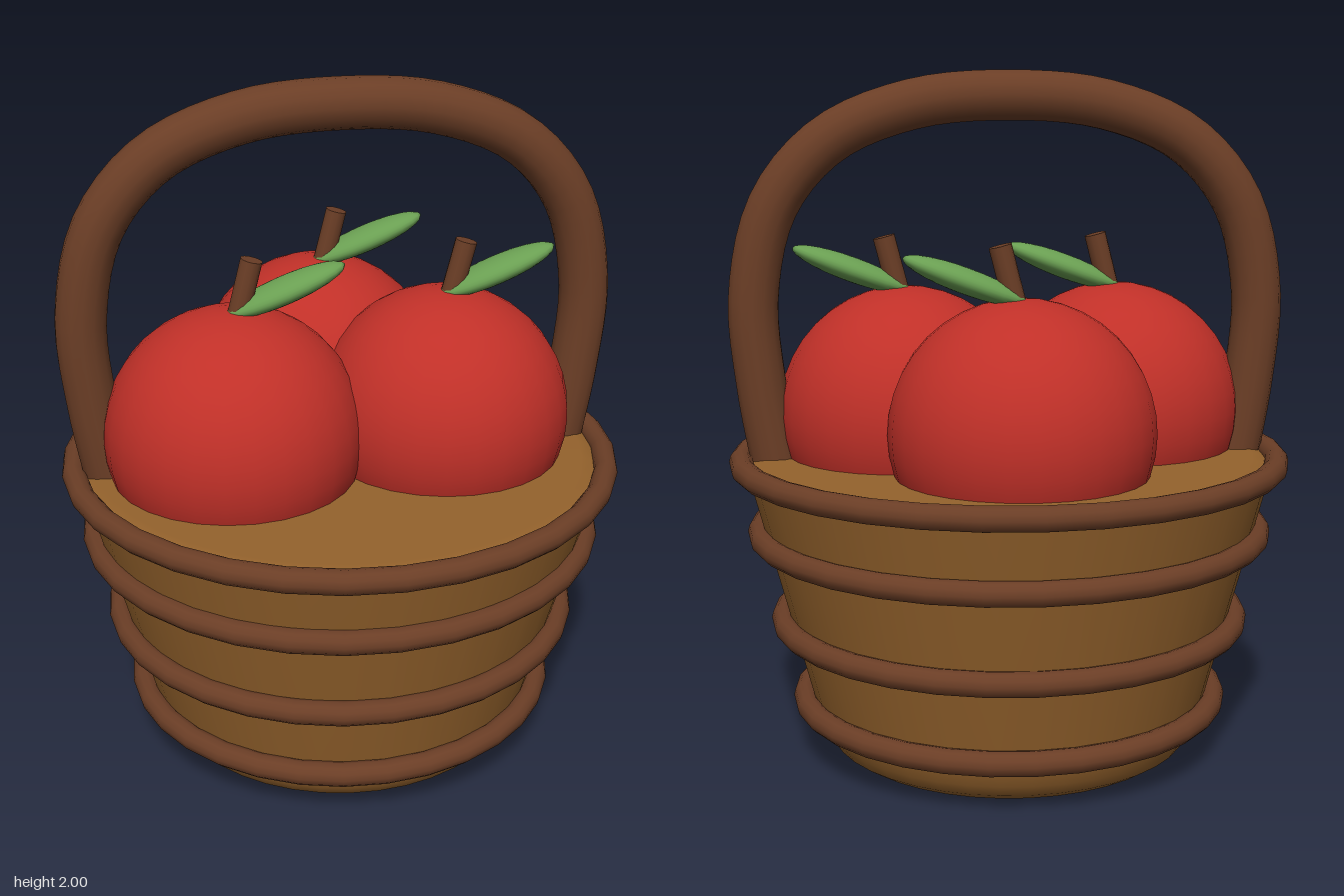
import * as THREE from 'three';

const mat = (name, color) => {
  const m = new THREE.MeshStandardMaterial({ color });
  m.name = name;
  return m;
};

export function createModel() {
  const wicker = mat('wicker tan', 0x94622c);
  const wood = mat('dark wood', 0x6b3e26);
  const red = mat('apple red', 0xc03028);
  const green = mat('leaf green', 0x6a9f52);

  const root = new THREE.Group();
  root.name = 'appleBasket';
  const add = (parent, name, geometry, material) => {
    const mesh = new THREE.Mesh(geometry, material);
    mesh.name = name;
    parent.add(mesh);
    return mesh;
  };

  // Tapered body with a rounded foot, closed by a flat filled top
  const profile = [
    [0, 0], [0.46, 0], [0.5, 0.007], [0.535, 0.03], [0.558, 0.065],
    [0.577, 0.115], [0.768, 0.845], [0.768, 0.865], [0.755, 0.88], [0.72, 0.89], [0, 0.89],
  ].map(([x, y]) => new THREE.Vector2(x, y));
  add(root, 'basketBody', new THREE.LatheGeometry(profile, 40), wicker);

  // Hoops and rim
  const hoops = [['lowerHoop', 0.155, 0.615], ['middleHoop', 0.4, 0.675],
    ['upperHoop', 0.665, 0.738], ['rim', 0.875, 0.787]];
  for (const [name, y, radius] of hoops) {
    const hoop = add(root, name, new THREE.TorusGeometry(radius, 0.035, 12, 32), wood);
    hoop.rotation.x = Math.PI / 2;
    hoop.position.y = y;
  }

  // Arched handle, mirrored about x = 0
  const half = [[0.68, 0.84], [0.722, 1.1], [0.738, 1.36], [0.675, 1.62], [0.52, 1.8], [0.28, 1.9]];
  const arch = [
    ...half.map(([x, y]) => new THREE.Vector3(-x, y, 0)),
    new THREE.Vector3(0, 1.926, 0),
    ...half.map(([x, y]) => new THREE.Vector3(x, y, 0)).reverse(),
  ];
  add(root, 'handle', new THREE.TubeGeometry(new THREE.CatmullRomCurve3(arch), 56, 0.073, 14), wood);

  // Apples, each with a leaning stem and one leaf
  const fruit = new THREE.SphereGeometry(0.373, 28, 20);
  const stemShape = new THREE.CylinderGeometry(0.032, 0.032, 0.22, 12);
  const leafShape = new THREE.SphereGeometry(1, 20, 14).scale(0.182, 0.036, 0.063);
  const apples = [['leftApple', 0.3, 0.042], ['rightApple', -0.328, 0.083], ['backApple', 0, -0.328]];
  for (const [name, x, z] of apples) {
    const apple = new THREE.Group();
    apple.name = name;
    apple.position.set(x, 1.006, z);
    root.add(apple);
    add(apple, 'fruit', fruit, red);
    const stem = add(apple, 'stem', stemShape, wood);
    stem.position.set(0.034, 0.41, 0);
    stem.rotation.z = -0.25;
    const leaf = add(apple, 'leaf', leafShape, green);
    leaf.position.set(0.155, 0.422, 0);
    leaf.rotation.z = 0.36;
  }
  return root;
}
